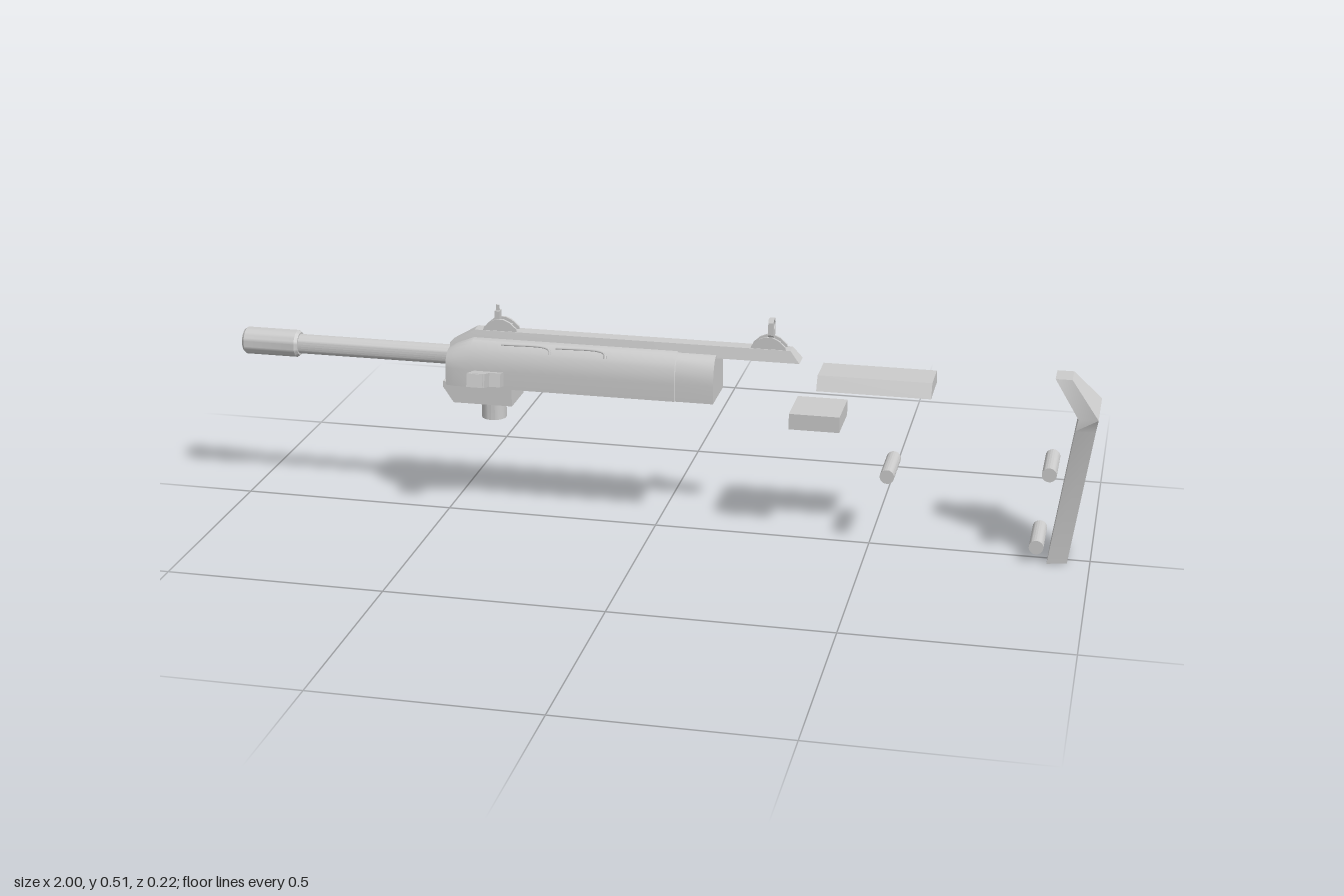
import * as THREE from 'three';
import { toCreasedNormals } from 'three/addons/utils/BufferGeometryUtils.js';

const material = new THREE.MeshStandardMaterial({ color: 0xcccccc, side: THREE.DoubleSide });

// Skin a stack of equal-length rings and close both ends
function loft(rings) {
  const n = rings[0].length, index = [];
  for (let r = 0; r < rings.length - 1; r++) {
    for (let i = 0; i < n; i++) {
      const a = r * n + i, b = r * n + (i + 1) % n;
      index.push(a, b, b + n, a, b + n, a + n);
    }
  }
  const last = (rings.length - 1) * n;
  for (let i = 1; i < n - 1; i++) {
    index.push(0, i + 1, i, last, last + i, last + i + 1);
  }
  const g = new THREE.BufferGeometry();
  g.setAttribute('position', new THREE.Float32BufferAttribute(rings.flat(2), 3));
  g.setIndex(index);
  return toCreasedNormals(g, 0.5);
}

// Side profile in x,y extruded to a width centred on z
function slab(points, width, z = 0, hole = null) {
  const shape = new THREE.Shape(points.map(p => new THREE.Vector2(...p)));
  if (hole) shape.holes.push(new THREE.Path().absarc(...hole, 0, Math.PI * 2, true));
  const g = new THREE.ExtrudeGeometry(shape, { depth: width, bevelEnabled: false, curveSegments: 20 });
  return g.translate(0, 0, z - width / 2);
}

export function createModel() {
  const model = new THREE.Group();
  const body = new THREE.Group();
  body.name = 'body';
  body.position.z = -0.028;
  model.add(body);

  const add = (name, geometry, x = 0, y = 0, z = 0, parent = body) => {
    const mesh = new THREE.Mesh(geometry, material);
    mesh.name = name;
    mesh.position.set(x, y, z);
    parent.add(mesh);
    return mesh;
  };

  // Barrel with a hollow, thicker muzzle
  const barrelProfile = [[0.014, 0.08], [0.023, 0], [0.027, 0], [0.032, 0.006], [0.032, 0.13],
    [0.027, 0.137], [0.023, 0.137], [0.023, 0.52]].map(p => new THREE.Vector2(...p));
  barrelProfile.unshift(new THREE.Vector2(0, 0.08));
  const barrel = toCreasedNormals(new THREE.LatheGeometry(barrelProfile, 28), 0.5);
  add('barrel', barrel.rotateZ(-Math.PI / 2), -1, 0.375);

  // Receiver: flat bottom, upright lower sides, curved shoulders
  const section = (x, top, inset = 0) => {
    const half = [[0.0625 - inset, 0.32], [0.0625 - inset, 0.362]];
    for (let i = 1; i <= 6; i++) {
      const a = i / 6 * Math.PI / 2;
      half.push([0.024 + (0.0385 - inset) * Math.cos(a), 0.362 + (top - 0.362) * Math.sin(a)]);
    }
    return [...half.map(([z, y]) => [x, y, -z]), ...half.reverse().map(([z, y]) => [x, y, z])];
  };
  add('receiver', loft([section(-0.49, 0.4, 0.004), section(-0.47, 0.412), section(-0.43, 0.428),
    section(0.05, 0.428), section(0.052, 0.425, 0.002), section(0.14, 0.425, 0.002)]));

  // Top rail running back past the receiver
  const railRing = (x0, y0, x1, y1) => [[x0, y0, -0.024], [x1, y1, -0.017], [x1, y1, 0.017], [x0, y0, 0.024]];
  add('topRail', loft([railRing(-0.49, 0.38, -0.49, 0.41), railRing(-0.43, 0.418, -0.43, 0.445),
    railRing(0.33, 0.418, 0.308, 0.445)]));

  // Raised guide ribs along both shoulders
  for (const side of [-1, 1]) {
    for (const start of [-0.36, -0.23]) {
      const path = new THREE.CatmullRomCurve3([[0, 0.421, 0.041], [0.1, 0.421, 0.041], [0.115, 0.417, 0.046],
        [0.118, 0.408, 0.053]].map(([x, y, z]) => new THREE.Vector3(start + x, y, side * z)));
      add('guideRib', new THREE.TubeGeometry(path, 16, 0.003, 6));
    }
  }

  // Mounting block and stud below the receiver
  add('lowerBlock', slab([[-0.5, 0.325], [-0.5, 0.312], [-0.475, 0.275], [-0.335, 0.275], [-0.335, 0.325]], 0.1));
  add('lowerStud', toCreasedNormals(new THREE.CylinderGeometry(0.029, 0.029, 0.05, 20), 0.5), -0.392, 0.255);

  // Sideways handle, tilted a little upward
  const handle = new THREE.Group();
  handle.name = 'sideHandle';
  handle.position.set(-0.395, 0.346, 0.07);
  handle.rotation.x = -0.24;
  body.add(handle);
  add('handlePlate', new THREE.BoxGeometry(0.07, 0.032, 0.03), 0.01, 0, 0.007, handle);
  add('handleShank', new THREE.BoxGeometry(0.036, 0.03, 0.065), -0.002, 0, 0.035, handle);
  add('handleGrip', new THREE.BoxGeometry(0.042, 0.032, 0.04), -0.002, 0, 0.042, handle);

  // Sights: domed feet between two cheeks, one with a post and one with a ring
  const foot = [[-0.042, 0.44], [0.042, 0.44], [0.038, 0.452], [0.022, 0.466], [0.008, 0.472],
    [-0.008, 0.472], [-0.022, 0.466], [-0.038, 0.452]];
  for (const x of [-0.37, 0.257]) {
    for (const side of [-1, 1]) add('sightCheek', slab(foot, 0.006, side * 0.012), x);
    add('sightFoot', new THREE.BoxGeometry(0.05, 0.02, 0.02), x, 0.448);
  }
  add('frontSightPost', new THREE.BoxGeometry(0.012, 0.04, 0.018), -0.378, 0.47);
  add('frontSightPin', new THREE.BoxGeometry(0.008, 0.025, 0.004), -0.378, 0.491);
  const leaf = slab([[-0.009, 0.44], [0.009, 0.44], [0.009, 0.47], [0.014, 0.477], [0.014, 0.506], [0.009, 0.513],
    [-0.009, 0.513], [-0.014, 0.506], [-0.014, 0.477], [-0.009, 0.47]], 0.012, 0, [0, 0.499, 0.0105]);
  add('rearSightRing', leaf.rotateY(Math.PI / 2), 0.262);

  // Separate stock blocks: a bevelled upper one and a plain lower one
  const cheekRing = x => [[x, 0.37, -0.0625], [x, 0.402, -0.045], [x, 0.402, 0.045], [x, 0.37, 0.0625]];
  add('upperStockBlock', loft([cheekRing(0.375), cheekRing(0.632)]));
  add('lowerStockBlock', new THREE.BoxGeometry(0.115, 0.037, 0.125), 0.372, 0.293);

  // Cross pins
  for (const [x, y] of [[0.54, 0.178], [0.9, 0.212], [0.88, 0.037]]) {
    const pin = new THREE.CylinderGeometry(0.0165, 0.0165, 0.125, 20).rotateX(Math.PI / 2);
    add('crossPin', toCreasedNormals(pin, 0.5), x, y);
  }

  // Butt plate: x front, y front, half width front, then the same for the back
  const butt = [[0.905, 0, 0.0625, 0.95, 0.005, 0.0625], [0.951, 0.32, 0.0625, 0.995, 0.32, 0.0625],
    [0.956, 0.347, 0.0625, 1, 0.353, 0.077], [0.9, 0.427, 0.031, 0.937, 0.427, 0.031]];
  add('buttPlate', loft(butt.map(([x0, y0, w0, x1, y1, w1]) =>
    [[x0, y0, w0], [x1, y1, w1], [x1, y1, -w1], [x0, y0, -w0]])));

  return model;
}
